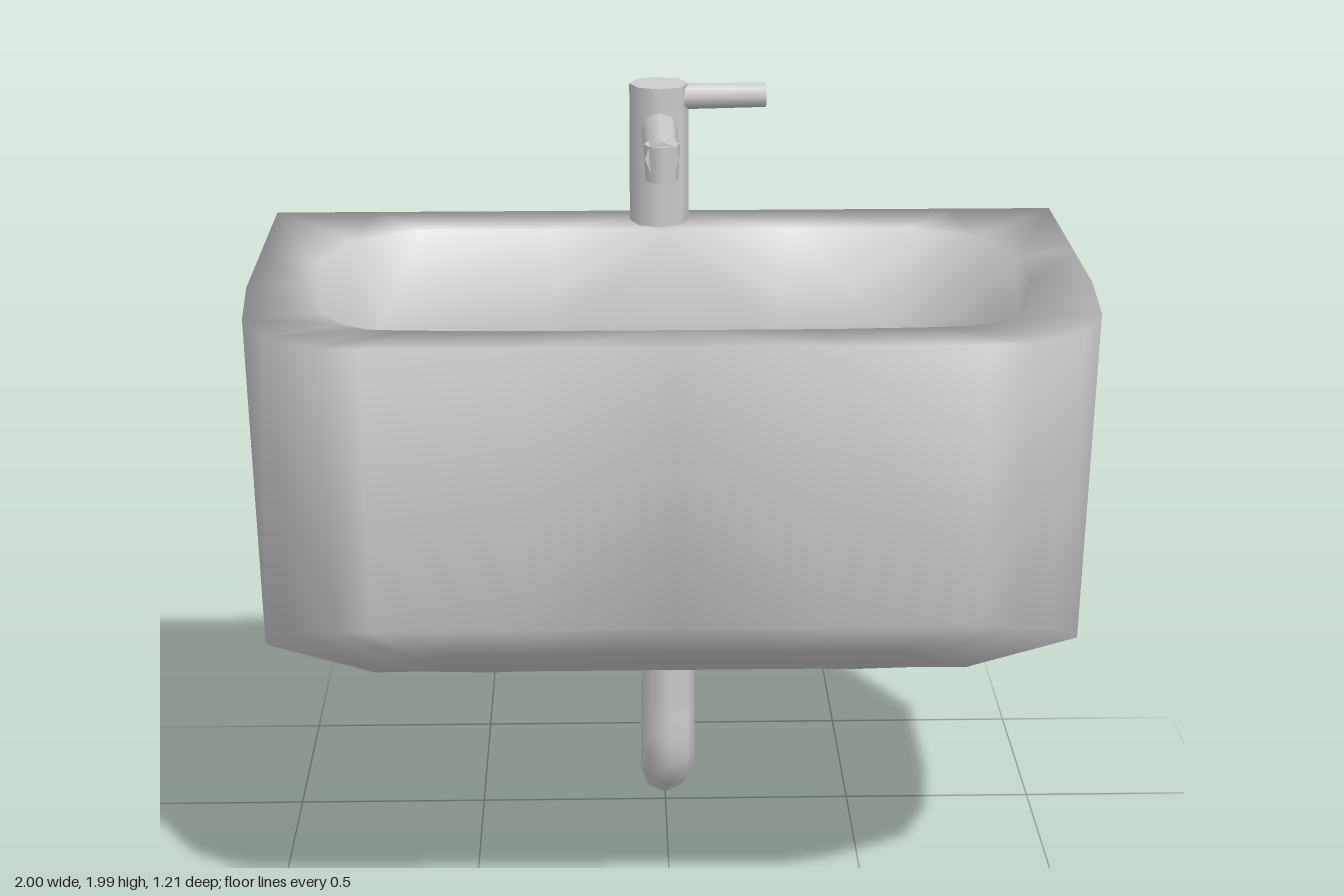
import * as THREE from 'three';

const material = new THREE.MeshStandardMaterial({ color: 0xcccccc, side: THREE.DoubleSide });
const DRAIN = { x: 0, z: -0.13, y: 0.72 };

// Half outlines [x, z] from back centre round the +x side to front centre
const OUTER = [[0, -0.6], [0.4, -0.6], [0.75, -0.6], [1, -0.6], [1, -0.2], [1, 0.1],
  [0.98, 0.36], [0.92, 0.5], [0.8, 0.585], [0.7, 0.6], [0.35, 0.6], [0, 0.6]];
// Foot of the outer wall, drawn in at the front corners
const BASE = [...OUTER.slice(0, 6), [0.965, 0.35], [0.89, 0.47], [0.78, 0.56], ...OUTER.slice(9)];
const INNER = [[0, -0.43], [0.3, -0.43], [0.62, -0.43], [0.78, -0.34], [0.86, -0.13], [0.86, 0.06],
  [0.81, 0.3], [0.75, 0.39], [0.69, 0.43], [0.6, 0.44], [0.35, 0.45], [0, 0.45]];

const mirrored = (half) => [...half, ...half.slice(1, -1).reverse().map(([x, z]) => [-x, z])];

// Height of the underside: rises to the front, chamfered along the sides
const UNDERSIDE = [[-0.6, 0.525], [-0.4, 0.53], [-0.2, 0.565], [0.1, 0.655], [0.3, 0.75], [0.45, 0.88], [0.6, 0.98]];
function undersideY(x, z) {
  let i = 0;
  while (i < UNDERSIDE.length - 2 && z > UNDERSIDE[i + 1][0]) i++;
  const [z0, y0] = UNDERSIDE[i], [z1, y1] = UNDERSIDE[i + 1];
  const side = Math.max(0, (Math.abs(x) - 0.75) / 0.25);
  const rear = THREE.MathUtils.clamp((0.9 - z) / 1.5, 0, 1);
  return y0 + (y1 - y0) * (z - z0) / (z1 - z0) + 0.155 * side * rear;
}

// Smooth skin through closed rings of equal length, with mirrored diagonals
function loft(rings) {
  const n = rings[0].length, index = [];
  for (let r = 0; r < rings.length - 1; r++) {
    for (let i = 0; i < n; i++) {
      const a = r * n + i, b = r * n + (i + 1) % n, c = a + n, d = b + n;
      if (i < n / 2) index.push(a, c, d, a, d, b);
      else index.push(a, c, b, b, c, d);
    }
  }
  const g = new THREE.BufferGeometry();
  g.setAttribute('position', new THREE.Float32BufferAttribute(rings.flat(2), 3));
  g.setIndex(index);
  g.computeVertexNormals();
  return g;
}

function add(parent, name, geometry, x = 0, y = 0, z = 0) {
  const mesh = new THREE.Mesh(geometry, material);
  mesh.name = name;
  mesh.position.set(x, y, z);
  parent.add(mesh);
  return mesh;
}

// Tapered rod between two points
function rod(parent, name, from, to, r0, r1) {
  const a = new THREE.Vector3(...from), b = new THREE.Vector3(...to);
  const dir = b.clone().sub(a);
  const mesh = add(parent, name, new THREE.CylinderGeometry(r1, r0, dir.length(), 8));
  mesh.position.copy(a).add(b).multiplyScalar(0.5);
  mesh.quaternion.setFromUnitVectors(new THREE.Vector3(0, 1, 0), dir.normalize());
}

function basinGeometry() {
  const outer = mirrored(OUTER), base = mirrored(BASE), inner = mirrored(INNER);
  const rings = [];
  // Underside, from its middle out to the foot of the walls
  const midZ = -0.25;
  for (const s of [0, 0.25, 0.5, 0.75, 1]) {
    rings.push(base.map(([x, z]) => {
      const pz = midZ + (z - midZ) * s;
      return [x * s, undersideY(x * s, pz), pz];
    }));
  }
  // Top edge of the outer walls
  rings.push(outer.map(([x, z]) => [x, 1.65, z]));
  // Rim and bowl, closing in on the drain
  const bowl = [[1, 1.645], [0.96, 1.35], [0.87, 1.06], [0.62, 0.86], [0.32, 0.77], [0.07, DRAIN.y], [0, DRAIN.y]];
  for (const [s, y] of bowl) {
    rings.push(inner.map(([x, z]) => [x * s, y, DRAIN.z + (z - DRAIN.z) * s]));
  }
  return loft(rings);
}

function tap() {
  const g = new THREE.Group();
  g.name = 'tap';
  const x = -0.015, z = -0.52;
  rod(g, 'tapColumn', [x, 1.63, z], [x, 2, z], 0.075, 0.075);
  rod(g, 'tapHandle', [x, 1.966, z], [0.255, 1.968, -0.525], 0.034, 0.031);
  rod(g, 'tapSpout', [x, 1.895, z], [x, 1.895, -0.145], 0.046, 0.042);
  rod(g, 'tapNozzle', [x, 1.925, -0.175], [x, 1.835, -0.175], 0.044, 0.04);
  return g;
}

function drain() {
  const g = new THREE.Group();
  g.name = 'drain';
  add(g, 'drainRing', new THREE.TorusGeometry(0.055, 0.01, 6, 8).rotateX(Math.PI / 2), DRAIN.x, DRAIN.y + 0.025, DRAIN.z);
  add(g, 'drainPlug', new THREE.CylinderGeometry(0.05, 0.05, 0.02, 8), DRAIN.x, DRAIN.y + 0.01, DRAIN.z);
  return g;
}

// Waste pipe with its S-bend, [z, y] along the centre line
function wastePipe() {
  const g = new THREE.Group();
  g.name = 'wastePipe';
  const path = [[-0.122, 0.66], [-0.122, 0.5], [-0.122, 0.34], [-0.155, 0.285], [-0.21, 0.265], [-0.265, 0.285],
    [-0.315, 0.385], [-0.38, 0.425], [-0.435, 0.39], [-0.457, 0.32], [-0.457, 0.18], [-0.495, 0.11],
    [-0.55, 0.08], [-0.6, 0.075]];
  const curve = new THREE.CatmullRomCurve3(path.map(([z, y]) => new THREE.Vector3(0, y, z)));
  add(g, 'pipe', new THREE.TubeGeometry(curve, 22, 0.067, 8));
  add(g, 'pipeEnd', new THREE.CircleGeometry(0.067, 8).rotateY(Math.PI), 0, 0.075, -0.6);
  return g;
}

export function createModel() {
  const model = new THREE.Group();
  model.name = 'washbasin';
  add(model, 'basin', basinGeometry());
  model.add(tap(), drain(), wastePipe());
  return model;
}
